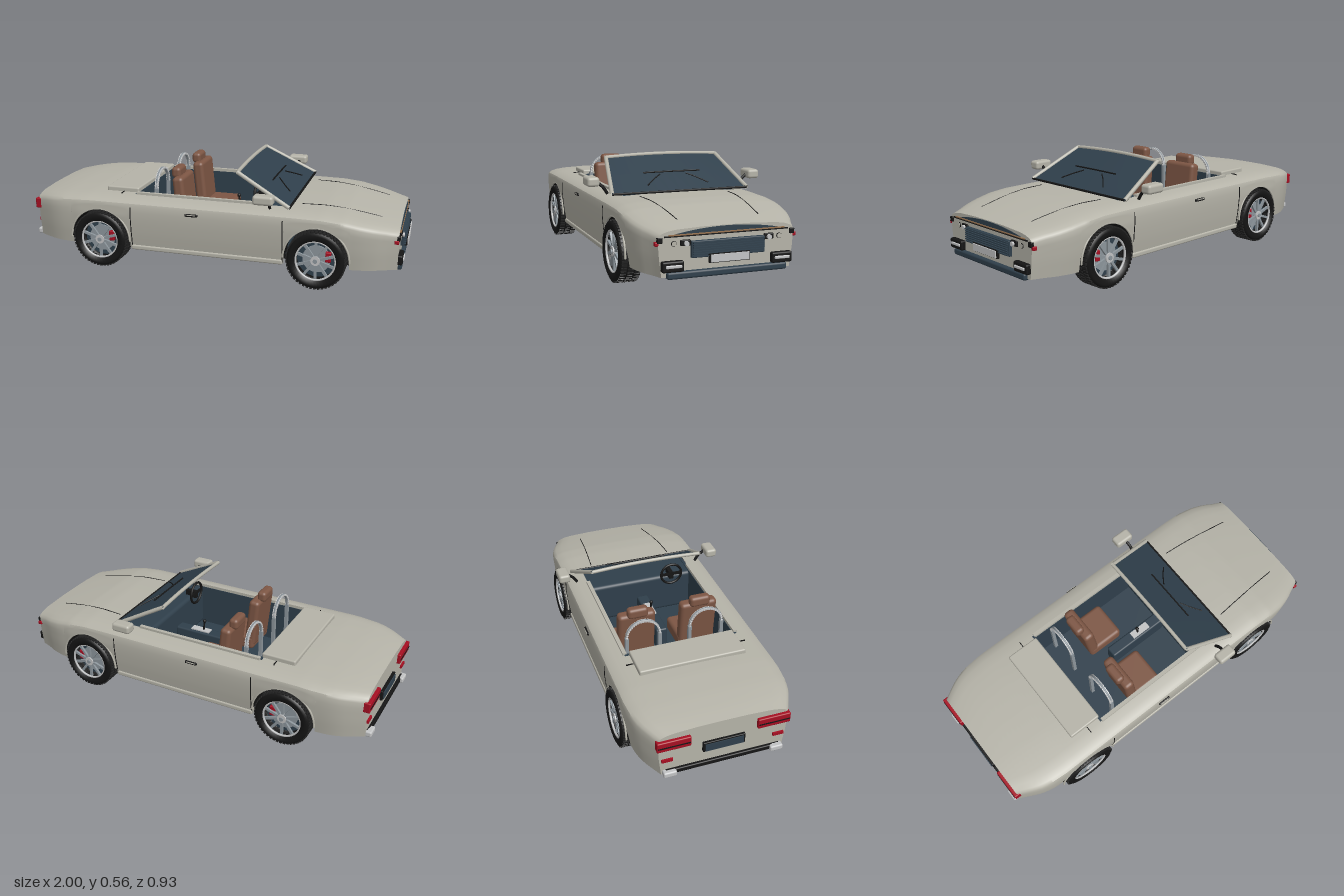
import * as THREE from 'three';
import { mergeGeometries, toCreasedNormals } from 'three/addons/utils/BufferGeometryUtils.js';
import { RoundedBoxGeometry } from 'three/addons/geometries/RoundedBoxGeometry.js';

const mat = (name, color, side = THREE.FrontSide) =>
  Object.assign(new THREE.MeshStandardMaterial({ color, side }), { name });
const PAINT = mat('body paint', 0xb5b3a8, THREE.DoubleSide);
const SLATE = mat('slate blue', 0x2f3f4b, THREE.DoubleSide);
const BLACK = mat('black', 0x151515, THREE.DoubleSide);
const RUBBER = mat('tyre rubber', 0x222222);
const SILVER = mat('silver', 0xc2c3c4);
const RIM = mat('rim grey', 0x8c959b);
const LEATHER = mat('brown leather', 0x7d5644);
const RED = mat('red', 0xa50f22);
const ORANGE = mat('copper trim', 0x96714f);

const lerpTable = (t, v) => {
  let i = 1;
  while (i < t.length - 1 && v > t[i][0]) i++;
  const [a, b] = [t[i - 1], t[i]];
  const k = THREE.MathUtils.clamp((v - a[0]) / (b[0] - a[0]), 0, 1);
  return a[1] + (b[1] - a[1]) * k;
};

// Body proportions: half width and centre height along x, side shape up y, deck crown
const WIDTH = [[-0.97, 0.322], [-0.92, 0.35], [-0.86, 0.38], [-0.8, 0.396], [-0.7, 0.405], [0.7, 0.405], [0.79, 0.395], [0.86, 0.375], [0.91, 0.35], [0.965, 0.33]];
const CROWN = [[-0.97, 0.357], [-0.9, 0.37], [-0.8, 0.382], [-0.65, 0.39], [0.45, 0.39], [0.6, 0.388], [0.7, 0.378], [0.82, 0.355], [0.9, 0.339], [0.965, 0.325]];
const FLANK = [[0.11, 0.945], [0.2, 0.98], [0.29, 1], [0.345, 0.995]];
const DECK = [[0.985, 0.012], [0.95, 0.022], [0.86, 0.032], [0.74, 0.038], [0.37, 0.044], [0, 0.045]];
const DECK_UP = DECK.slice().reverse();
const BASE = 0.11, AXLES = [-0.575, 0.575], ARCH = 0.163, HUB_Y = 0.15;
const sideZ = (x, y) => lerpTable(WIDTH, x) * lerpTable(FLANK, y);
const shoulder = x => lerpTable(CROWN, x) - 0.045;
const deckY = (x, z) => shoulder(x) + lerpTable(DECK_UP, Math.abs(z) / lerpTable(WIDTH, x));

function section(x, low) {
  const s = shoulder(x), w = lerpTable(WIDTH, x), pts = [];
  for (let i = 0; i <= 7; i++) {
    const y = low + (s - low) * i / 7;
    pts.push([x, y, sideZ(x, y)]);
  }
  for (const [f, d] of DECK) pts.push([x, s + d, w * f]);
  return pts;
}

function bodyGeometry() {
  const st = [];
  for (let i = 0; i <= 64; i++) st.push([-0.97 + i * 1.935 / 64, BASE]);
  for (const x of [-0.4, 0.42]) st.push([x, BASE]);
  let list = st.filter(([x]) => AXLES.every(c => Math.abs(x - c) > ARCH + 0.002));
  for (const c of AXLES) {
    list.push([c - ARCH - 0.001, BASE], [c + ARCH + 0.001, BASE]);
    for (let i = 0; i <= 24; i++) {
      const a = Math.PI * i / 24;
      list.push([c - ARCH * Math.cos(a), HUB_Y + ARCH * Math.sin(a)]);
    }
  }
  list.sort((a, b) => a[0] - b[0]);
  const pos = [], secs = list.map(([x, l]) => section(x, l));
  const quad = (a, b, c, d) => pos.push(...a, ...b, ...c, ...a, ...c, ...d);
  const flip = p => [p[0], p[1], -p[2]];
  for (let i = 0; i + 1 < secs.length; i++) {
    const A = secs[i], B = secs[i + 1], xm = (A[0][0] + B[0][0]) / 2;
    const open = xm > -0.4 && xm < 0.42;
    for (let k = 0; k + 1 < (open ? 12 : A.length); k++) {
      quad(A[k], B[k], B[k + 1], A[k + 1]);
      quad(flip(A[k + 1]), flip(B[k + 1]), flip(B[k]), flip(A[k]));
    }
  }
  // nose and tail panels
  const T = secs[0], N = secs[secs.length - 1];
  for (let k = 0; k + 1 < T.length; k++) {
    quad(flip(T[k]), T[k], T[k + 1], flip(T[k + 1]));
    quad(N[k], flip(N[k]), flip(N[k + 1]), N[k + 1]);
  }
  const g = new THREE.BufferGeometry();
  g.setAttribute('position', new THREE.Float32BufferAttribute(pos, 3));
  return toCreasedNormals(g, 0.6);
}

export function createModel() {
  const car = new THREE.Group();
  car.name = 'convertible';
  const add = (name, geo, m, x = 0, y = 0, z = 0, parent = car) => {
    const o = new THREE.Mesh(geo, m);
    o.name = name;
    o.position.set(x, y, z);
    parent.add(o);
    return o;
  };
  // box given by its x, y and z ranges, optionally rounded
  const box = (name, m, [x0, x1], [y0, y1], [z0, z1], r = 0, parent = car) => {
    const s = [x1 - x0, y1 - y0, z1 - z0];
    const g = r ? new RoundedBoxGeometry(...s, 3, r) : new THREE.BoxGeometry(...s);
    return add(name, g, m, (x0 + x1) / 2, (y0 + y1) / 2, (z0 + z1) / 2, parent);
  };
  const pair = (name, m, xs, ys, [z0, z1], r) => {
    box(name, m, xs, ys, [z0, z1], r);
    box(name, m, xs, ys, [-z1, -z0], r);
  };
  const tube = (name, m, pts, r, n = 16) => add(name, new THREE.TubeGeometry(
    new THREE.CatmullRomCurve3(pts.map(p => new THREE.Vector3(...p))), n, r, 8), m);

  add('body', bodyGeometry(), PAINT);
  box('underbody', BLACK, [-0.9, 0.92], [0.1, 0.13], [-0.29, 0.29]);

  // Cockpit tub and rear deck cover
  box('floor', SLATE, [-0.4, 0.43], [0.13, 0.15], [-0.3, 0.3]);
  box('rearBulkhead', SLATE, [-0.41, -0.395], [0.13, 0.385], [-0.3, 0.3]);
  box('dashboard', SLATE, [0.24, 0.43], [0.15, 0.375], [-0.3, 0.3], 0.02);
  pair('innerWall', SLATE, [-0.4, 0.43], [0.13, 0.378], [0.285, 0.298]);
  pair('beltRail', PAINT, [-0.4, 0.3], [0.375, 0.394], [0.288, 0.308]);
  box('rearDeckCover', PAINT, [-0.58, -0.4], [0.375, 0.408], [-0.277, 0.277], 0.008);
  box('console', SLATE, [-0.11, 0.24], [0.15, 0.27], [-0.032, 0.032], 0.01);
  box('shifterPlate', SILVER, [0.04, 0.15], [0.27, 0.276], [-0.02, 0.02]);
  tube('shifter', BLACK, [[0.08, 0.27, 0], [0.078, 0.3, 0], [0.075, 0.325, 0]], 0.005);
  add('shifterKnob', new THREE.SphereGeometry(0.01, 12, 8), BLACK, 0.075, 0.33, 0);

  // Steering wheel
  const steer = new THREE.Group();
  steer.name = 'steeringWheel';
  steer.position.set(0.22, 0.395, 0.17);
  steer.rotation.y = Math.PI / 2;
  car.add(steer);
  add('steeringRim', new THREE.TorusGeometry(0.06, 0.007, 8, 32), BLACK, 0, 0, 0, steer);
  box('steeringSpoke', BLACK, [-0.058, 0.058], [-0.008, 0.008], [-0.004, 0.004], 0, steer);
  box('steeringColumn', BLACK, [-0.012, 0.012], [-0.03, 0.01], [-0.005, 0.06], 0, steer);

  // Seats and ribbed roll hoops
  for (const z of [-0.17, 0.17]) {
    box('seatCushion', LEATHER, [-0.19, 0.015], [0.18, 0.26], [z - 0.103, z + 0.103], 0.02);
    const back = box('seatBack', LEATHER, [-0.22, -0.16], [0.2, 0.478], [z - 0.1, z + 0.1], 0.02);
    back.rotation.z = 0.1;
    back.position.x = -0.175;
    box('headrest', LEATHER, [-0.235, -0.185], [0.462, 0.52], [z - 0.055, z + 0.055], 0.018);
    const hoop = [];
    for (let i = 0; i <= 20; i++) {
      const a = Math.PI * i / 20;
      const ring = new THREE.CylinderGeometry(0.011, 0.011, 0.009, 10);
      ring.rotateX(Math.PI / 2 - a);
      ring.translate(-0.305, 0.41 + 0.088 * Math.sin(a), z + 0.088 * Math.cos(a));
      hoop.push(ring);
    }
    add('rollHoop', mergeGeometries(hoop), SILVER);
    tube('rollHoopCore', RIM, [0, 1, 2, 3, 4, 5, 6].map(i => [-0.305,
      0.41 + 0.088 * Math.sin(Math.PI * i / 6), z + 0.088 * Math.cos(Math.PI * i / 6)]), 0.007, 30);
    for (const s of [-1, 1]) box('hoopLeg', RIM, [-0.314, -0.296], [0.15, 0.41], [z + s * 0.088 - 0.009, z + s * 0.088 + 0.009]);
  }

  // Raked windscreen: v runs from the foot to the header, u across
  const screen = (u, v, lift = 0) => [0.43 - 0.28 * v + lift * 0.5, 0.395 + 0.148 * v + 0.01 * v * (1 - u * u) + lift, u * (0.362 - 0.055 * v)];
  const glass = new THREE.PlaneGeometry(2, 1, 12, 2), gp = glass.attributes.position;
  for (let i = 0; i < gp.count; i++) gp.setXYZ(i, ...screen(gp.getX(i), gp.getY(i) + 0.5));
  glass.computeVertexNormals();
  add('windscreen', glass, SLATE);
  const us = [-1, -0.5, 0, 0.5, 1];
  tube('screenHeader', PAINT, us.map(u => screen(u, 1)), 0.01);
  tube('screenSeal', BLACK, us.map(u => screen(u, 0)), 0.006);
  for (const s of [-1, 1]) {
    tube('screenPillar', PAINT, [screen(s, 0), screen(s, 0.5), screen(s, 1)], 0.011);
    tube('wiper', BLACK, [screen(s * 0.16, 0.15, 0.006), screen(s * 0.3, 0.3, 0.006), screen(s * 0.44, 0.42, 0.006)].map(
      ([x, y, z]) => [x, y, s * (0.22 - Math.abs(z))]), 0.003);
  }
  tube('wiperBlade', BLACK, [screen(-0.46, 0.48, 0.006), screen(0, 0.48, 0.006), screen(0.46, 0.48, 0.006)], 0.004);

  // Mirrors, handles, shut lines, sills and bonnet creases
  for (const s of [-1, 1]) {
    box('mirror', PAINT, [0.265, 0.368], [0.426, 0.473], s > 0 ? [0.404, 0.466] : [-0.466, -0.404], 0.014);
    tube('mirrorStalk', BLACK, [[0.33, 0.385, s * 0.355], [0.33, 0.42, s * 0.38], [0.325, 0.445, s * 0.41]], 0.008);
    box('doorHandle', BLACK, [-0.1, -0.032], [0.318, 0.332], s > 0 ? [0.4, 0.413] : [-0.413, -0.4], 0.005);
    box('handleGrip', PAINT, [-0.092, -0.042], [0.326, 0.33], s > 0 ? [0.411, 0.415] : [-0.415, -0.411]);
    for (const x of [-0.4, 0.405]) {
      const seam = [0.115, 0.16, 0.2, 0.25, 0.29, 0.34].map(y => [x, y, s * sideZ(x, y)]);
      tube('doorSeam', BLACK, seam, 0.0025, 20);
    }
    box('sill', PAINT, [-0.405, 0.405], [0.104, 0.13], s > 0 ? [0.35, 0.392] : [-0.392, -0.35], 0.008);
    tube('bonnetCrease', BLACK, [[0.47, 0.235], [0.6, 0.224], [0.75, 0.21], [0.87, 0.2]].map(
      ([x, z]) => [x, deckY(x, z), s * z]), 0.0022);
    box('deckSeam', BLACK, [-0.484, -0.48], [0.36, 0.388], s > 0 ? [0.28, 0.315] : [-0.315, -0.28]);
  }

  // Nose: grille, lamps, plate, bumper blocks and lip
  box('grille', SLATE, [0.96, 0.982], [0.19, 0.265], [-0.177, 0.177], 0.004);
  for (let i = 0; i < 7; i++) box('grilleBar', SLATE, [0.98, 0.99], [0.195 + i * 0.01, 0.2 + i * 0.01], [-0.172, 0.172]);
  box('frontPlateFrame', BLACK, [0.98, 0.994], [0.165, 0.207], [-0.098, 0.098]);
  box('frontPlate', SILVER, [0.99, 1], [0.169, 0.203], [-0.092, 0.092]);
  box('frontLip', SLATE, [0.935, 0.985], [0.102, 0.135], [-0.29, 0.29], 0.01);
  box('noseTrim', ORANGE, [0.962, 0.972], [0.292, 0.297], [-0.28, 0.28]);
  box('noseTrimShadow', BLACK, [0.962, 0.97], [0.286, 0.292], [-0.3, 0.3]);
  const slot = new THREE.Shape();
  slot.moveTo(-0.25, 0.298).lineTo(0.25, 0.298).quadraticCurveTo(0, 0.345, -0.25, 0.298);
  add('noseSlot', new THREE.ExtrudeGeometry(slot, { depth: 0.006, bevelEnabled: false }), SLATE, 0.963).rotation.y = Math.PI / 2;
  const lamp = (name, m, r, x, y, z) => add(name, new THREE.CylinderGeometry(r, r, 0.012, 20), m, x, y, z).rotation.z = Math.PI / 2;
  for (const s of [-1, 1]) {
    lamp('headlampRing', BLACK, 0.0125, 0.964, 0.257, s * 0.255);
    lamp('headlamp', PAINT, 0.011, 0.966, 0.257, s * 0.255);
    lamp('innerLamp', SILVER, 0.011, 0.978, 0.257, s * 0.2);
  }
  pair('innerLampHousing', BLACK, [0.96, 0.974], [0.245, 0.272], [0.178, 0.225], 0.004);
  pair('bumperBlock', BLACK, [0.955, 0.988], [0.135, 0.184], [0.213, 0.315], 0.008);
  pair('bumperBar', SILVER, [0.984, 0.994], [0.154, 0.168], [0.225, 0.3], 0.004);
  pair('cornerMarker', RED, [0.945, 0.967], [0.25, 0.268], [0.325, 0.342], 0.004);
  pair('cornerTrim', BLACK, [0.95, 0.972], [0.262, 0.288], [0.308, 0.332], 0.004);

  // Tail: lamps, plate and bumper
  pair('tailLamp', RED, [-0.987, -0.95], [0.265, 0.32], [0.165, 0.33], 0.006);
  pair('tailLampBar', BLACK, [-0.99, -0.975], [0.287, 0.292], [0.17, 0.325]);
  box('rearPlateFrame', BLACK, [-0.984, -0.965], [0.2, 0.255], [-0.105, 0.105], 0.004);
  box('rearPlate', SLATE, [-0.989, -0.98], [0.207, 0.247], [-0.095, 0.095]);
  box('rearBumperStrip', BLACK, [-0.985, -0.96], [0.112, 0.138], [-0.29, 0.29], 0.006);
  pair('rearBumperEnd', SILVER, [-1, -0.965], [0.108, 0.138], [0.235, 0.3], 0.008);
  pair('rearReflector', RED, [-0.98, -0.965], [0.19, 0.205], [0.25, 0.305]);

  // Wheels: local +z points outward
  const tyreProfile = [[0.1, -0.05], [0.13, -0.055], [0.142, -0.05], [0.146, -0.035], [0.146, 0.035], [0.142, 0.05], [0.13, 0.057], [0.103, 0.052], [0.1, 0.03]];
  const tyre = new THREE.LatheGeometry(tyreProfile.map(p => new THREE.Vector2(...p)), 48).rotateX(Math.PI / 2);
  const blocks = [];
  for (let i = 0; i < 48; i++) for (const z of [-0.034, 0, 0.034]) {
    const b = new THREE.BoxGeometry(0.012, 0.01, 0.028);
    b.translate(0, 0.145, z).rotateZ((i + (z ? 0 : 0.5)) * Math.PI / 24);
    blocks.push(b);
  }
  const tread = mergeGeometries(blocks), spokes = [];
  for (let i = 0; i < 10; i++) {
    const b = new THREE.BoxGeometry(0.013, 0.082, 0.012);
    spokes.push(b.translate(0, 0.058, 0.038).rotateZ(i * Math.PI / 5));
  }
  const spokeSet = mergeGeometries(spokes);
  const disc = (r, d, n = 32) => new THREE.CylinderGeometry(r, r, d, n).rotateX(Math.PI / 2);
  for (const x of AXLES) for (const s of [-1, 1]) {
    const w = new THREE.Group();
    w.name = 'wheel';
    w.position.set(x, HUB_Y, s * 0.362);
    if (s < 0) w.rotation.y = Math.PI;
    car.add(w);
    add('tyre', tyre, RUBBER, 0, 0, 0, w).material = BLACK;
    add('tread', tread, RUBBER, 0, 0, 0, w);
    add('rimRing', new THREE.TorusGeometry(0.1, 0.006, 8, 40), SILVER, 0, 0, 0.046, w);
    add('rimBack', disc(0.1, 0.04), SLATE, 0, 0, -0.02, w);
    add('brakeDisc', disc(0.07, 0.008), RIM, 0, 0, 0.012, w);
    add('spokes', spokeSet, RIM, 0, 0, 0, w);
    add('hub', disc(0.024, 0.02, 20), SILVER, 0, 0, 0.04, w);
    add('hubCap', disc(0.011, 0.008, 16), RIM, 0, 0, 0.052, w);
    box('caliper', RED, [s * 0.06 - 0.014, s * 0.06 + 0.014], [-0.008, 0.045], [0.012, 0.034], 0.005, w);

    // wheel well and arch lip
    const well = new THREE.CylinderGeometry(0.164, 0.164, 0.13, 32, 1, true, Math.PI / 2, Math.PI).rotateX(Math.PI / 2);
    add('wheelWell', well, BLACK, x, HUB_Y, s * 0.33);
    add('archLip', new THREE.TorusGeometry(ARCH + 0.003, 0.005, 8, 32, Math.PI), PAINT, x, HUB_Y, s * 0.4);
  }
  return car;
}
